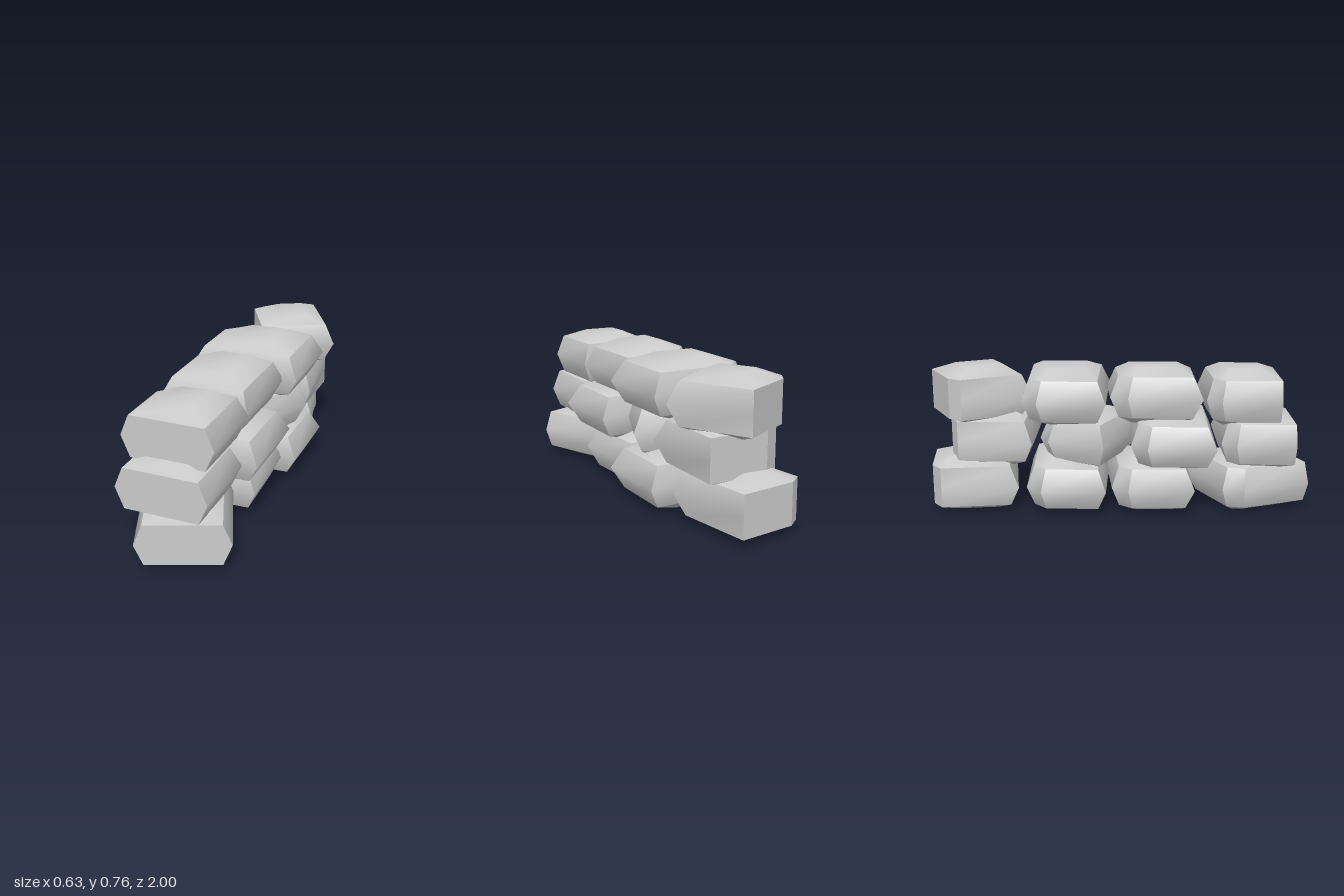
import * as THREE from 'three';
import { mergeGeometries } from 'three/addons/utils/BufferGeometryUtils.js';

const HEIGHTS = [-0.15, -0.105, 0, 0.105, 0.15];
const INSET = 0.81;

// Bag outline seen from above, counterclockwise, with one corner cut off
const OUTLINE = [[-1, 1], [1, 1], [1, -1], [-0.72, -0.87], [-1, -0.5]];
const FLAT_BACK_OUTLINE = [[-1, 1], [1, 1], [1, -1], [-0.6, -1], [-1, -0.8]];
const SIDES = OUTLINE.map((_, i) => i);

// One corner of a bag at a level: 0 and 4 are the caps, 2 is the bulging equator
function corner(level, i, w, l, flat) {
  const outline = flat === 'back' ? FLAT_BACK_OUTLINE : OUTLINE;
  const [sx, sz] = outline[i % outline.length];
  let hx = w / 2, hz = l / 2;
  const flatEnd = (flat === 'front' && sz > 0) || (flat === 'back' && sz < 0);
  if (level === 0 || level === 4) {
    hx *= 0.36;
    hz *= 0.5;
  } else {
    if (level !== 2 || (flatEnd && flat === 'back')) hx *= INSET;
    if (level !== 2 && !flatEnd) hz *= INSET;
  }
  return [sx * hx, HEIGHTS[level], sz * hz];
}

// A smooth patch from shared points and convex polygons
function patch(points, polygons) {
  const g = new THREE.BufferGeometry();
  g.setAttribute('position', new THREE.Float32BufferAttribute(points.flat(), 3));
  g.setIndex(polygons.flatMap((p) => p.slice(2).flatMap((c, k) => [p[0], p[k + 1], c])));
  g.computeVertexNormals();
  return g;
}

// Pillow shape: sides bent at the equator, domed top and bottom, sharp seams between
function bagGeometry(w, l, flat) {
  const n = SIDES.length;
  const ring = (level) => SIDES.map((i) => corner(level, i, w, l, flat));
  const bevels = SIDES.map((i) => [i, (i + 1) % n, n + ((i + 1) % n), n + i]);
  const parts = [
    patch([...ring(3), ...ring(4)], [...bevels, SIDES.map((i) => n + i)]),
    patch([...ring(0), ...ring(1)], [...bevels, [...SIDES].reverse()]),
  ];
  for (const i of SIDES) {
    const points = [1, 2, 3].flatMap((k) => [corner(k, i, w, l, flat), corner(k, i + 1, w, l, flat)]);
    parts.push(patch(points, [[0, 1, 3, 2], [2, 3, 5, 4]]));
  }
  return mergeGeometries(parts);
}

// Courses from the ground up, bags from front to back
const COURSES = [
  { name: 'bottomCourse', y: 0.15, bags: [
    { x: 0.007, z: 0.683, w: 0.45, l: 0.5, yaw: 0.39, flat: 'front' },
    { x: -0.02, z: 0.165, w: 0.5, l: 0.45, yaw: 0.04 },
    { x: 0.003, z: -0.27, w: 0.6, l: 0.44 },
    { x: -0.03, z: -0.752, w: 0.46, l: 0.44, yaw: 0.15, flat: 'back' },
  ] },
  { name: 'middleCourse', y: 0.38, bags: [
    { x: -0.005, z: 0.71, w: 0.46, l: 0.4, flat: 'front' },
    { x: -0.005, z: 0.275, w: 0.61, l: 0.46 },
    { x: 0, z: -0.17, w: 0.44, l: 0.42, yaw: -0.4 },
    { x: 0.02, z: -0.645, w: 0.47, l: 0.43, flat: 'back' },
  ] },
  { name: 'topCourse', y: 0.605, bags: [
    { x: -0.005, z: 0.63, w: 0.46, l: 0.4, flat: 'front' },
    { x: -0.01, z: 0.185, w: 0.46, l: 0.5, roll: -0.05, lift: 0.006 },
    { x: 0.002, z: -0.28, w: 0.59, l: 0.46 },
    { x: 0.02, z: -0.725, w: 0.45, l: 0.41, yaw: 0.5, flat: 'back' },
  ] },
];

export function createModel() {
  const model = new THREE.Group();
  model.name = 'sandbagWall';
  const material = new THREE.MeshStandardMaterial({ color: 0xcccccc });
  for (const { name, y, bags } of COURSES) {
    const course = new THREE.Group();
    course.name = name;
    bags.forEach(({ x, z, w, l, yaw = 0, roll = 0, lift = 0, flat }, i) => {
      const bag = new THREE.Mesh(bagGeometry(w, l, flat), material);
      bag.name = `sandbag${i + 1}`;
      bag.position.set(x, y + lift, z);
      bag.rotation.set(0, yaw, roll);
      course.add(bag);
    });
    model.add(course);
  }
  return model;
}
